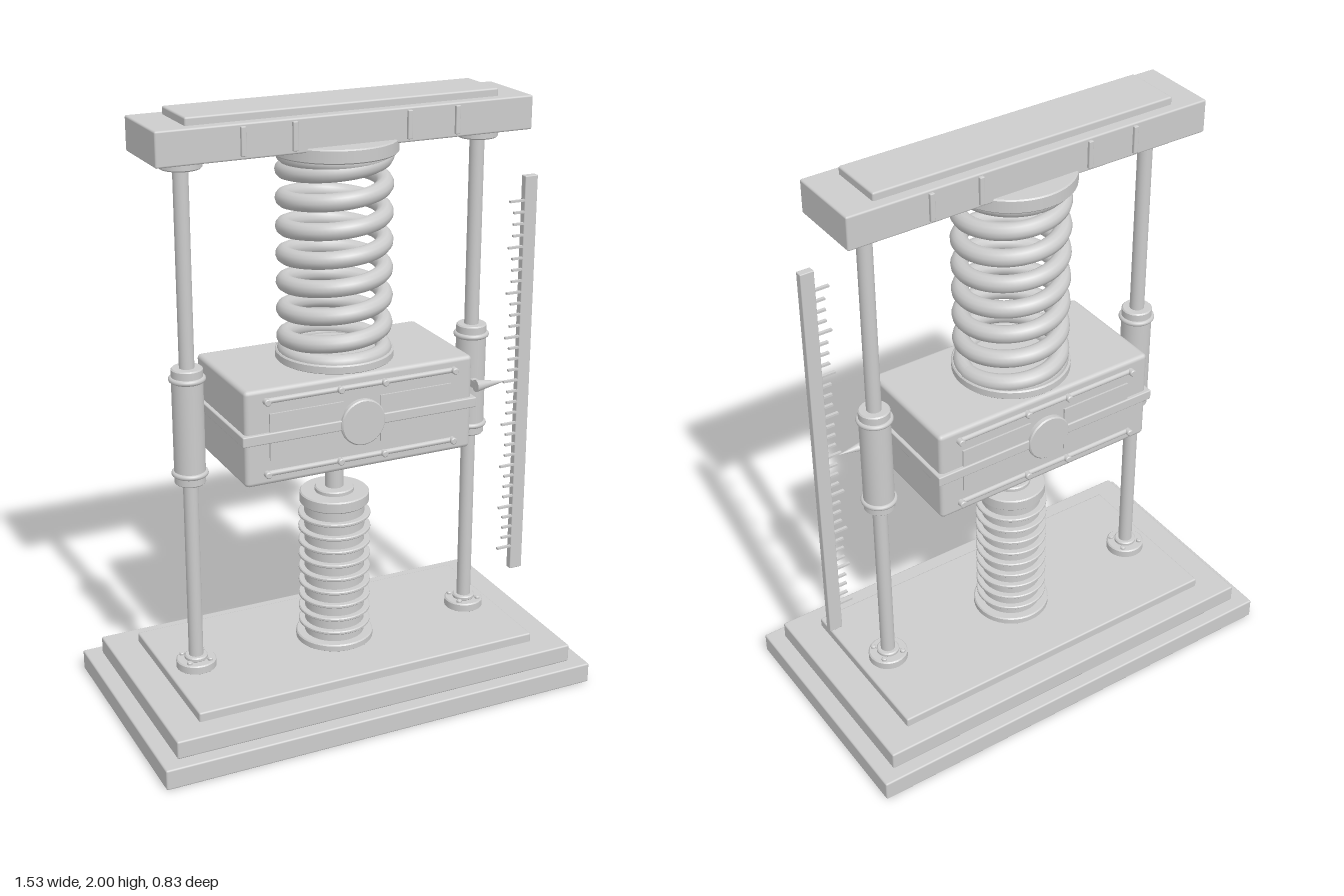
import * as THREE from 'three';
import { RoundedBoxGeometry } from 'three/addons/geometries/RoundedBoxGeometry.js';

const metal = new THREE.MeshStandardMaterial({ color: 0xcccccc });
metal.name = 'light grey metal';

class Helix extends THREE.Curve {
  constructor(radius, y0, y1, turns) {
    super();
    Object.assign(this, { radius, y0, y1, turns });
  }
  getPoint(t, target = new THREE.Vector3()) {
    const a = t * this.turns * Math.PI * 2;
    return target.set(Math.cos(a) * this.radius, this.y0 + (this.y1 - this.y0) * t, -Math.sin(a) * this.radius);
  }
}

export function createModel() {
  const model = new THREE.Group();
  model.name = 'springTestRig';

  const add = (name, geometry, x = 0, y = 0, z = 0, parent = model) => {
    const mesh = new THREE.Mesh(geometry, metal);
    mesh.name = name;
    mesh.position.set(x, y, z);
    parent.add(mesh);
    return mesh;
  };
  // Box from y0 to y1 with softened edges
  const slab = (name, w, y0, y1, d, x = 0, z = 0, r = 0.006) =>
    add(name, new RoundedBoxGeometry(w, y1 - y0, d, 2, r), x, (y0 + y1) / 2, z);
  // Upright turned part from y0 to y1 with a small chamfer
  const disc = (name, r, y0, y1, x = 0, z = 0, parent = model) => {
    const h = y1 - y0, c = Math.min(0.004, h / 4, r / 4);
    const corners = [[0, 0], [r - c, 0], [r, c], [r, h - c], [r - c, h], [0, h]];
    const points = [];
    corners.forEach(([px, py], i) => {
      points.push(new THREE.Vector2(px, py));
      if (i > 0 && i < 5) points.push(new THREE.Vector2(px, py));
    });
    return add(name, new THREE.LatheGeometry(points, 40), x, y0, z, parent);
  };

  // Stepped base
  slab('basePlate', 1.53, 0, 0.07, 0.83);
  slab('baseMiddleStep', 1.42, 0.07, 0.132, 0.74);
  slab('baseTopStep', 1.21, 0.125, 0.163, 0.58);

  // Top beam with straps and cover plate
  slab('topBeam', 1.25, 1.867, 1.975, 0.26);
  slab('beamCover', 1.04, 1.965, 2, 0.19);
  for (const x of [-0.355, -0.19, 0.19, 0.355])
    for (const s of [-1, 1]) slab('beamStrap', 0.016, 1.878, 1.967, 0.016, x, s * 0.132, 0.003);

  // Guide columns with flanges, bolts and sliding sleeves
  for (const s of [-1, 1]) {
    const column = new THREE.Group();
    column.name = s > 0 ? 'leftColumn' : 'rightColumn';
    column.position.x = s * 0.503;
    model.add(column);
    const part = (name, r, y0, y1, x = 0, z = 0) => disc(name, r, y0, y1, x, z, column);
    part('guideRod', 0.024, 0.16, 1.87);
    part('bottomFlange', 0.066, 0.16, 0.192);
    part('bottomCollar', 0.038, 0.19, 0.206);
    part('topFlange', 0.066, 1.832, 1.869);
    for (let i = 0; i < 4; i++) {
      const a = (i + 0.5) * Math.PI / 2;
      part('flangeBolt', 0.009, 0.19, 0.201, Math.cos(a) * 0.051, Math.sin(a) * 0.051);
    }
    part('sleeve', 0.05, 0.82, 1.206);
    for (const y of [0.855, 1.17]) {
      const ring = add('sleeveRing', new THREE.TorusGeometry(0.05, 0.009, 10, 40), 0, y, 0, column);
      ring.rotation.x = Math.PI / 2;
    }
  }

  // Main spring between its two seats
  disc('springTopSeat', 0.2, 1.835, 1.88);
  disc('springBottomSeat', 0.19, 1.17, 1.2);
  add('mainSpring', new THREE.TubeGeometry(new Helix(0.157, 1.2, 1.83, 7), 420, 0.028, 12));
  for (const y of [1.2, 1.83]) {
    const coil = add('springEndCoil', new THREE.TorusGeometry(0.157, 0.026, 12, 48), 0, y);
    coil.rotation.x = Math.PI / 2;
  }

  // Moving mass block with belt
  slab('massBlock', 0.79, 0.855, 1.172, 0.4, 0, 0, 0.014);
  slab('massBelt', 0.815, 0.997, 1.031, 0.424, 0, 0, 0.004);

  // Matching details on the front and back of the block
  for (const s of [-1, 1]) {
    const face = new THREE.Group();
    face.name = s > 0 ? 'massFrontFace' : 'massBackFace';
    face.rotation.y = s > 0 ? 0 : Math.PI;
    model.add(face);
    for (const x of [-0.19, 0.19])
      add('facePanel', new THREE.BoxGeometry(0.25, 0.155, 0.012), x, 1.014, 0.2, face);
    const boss = disc('faceBoss', 0.076, 0, 0.03, 0, 0.188, face);
    boss.position.y = 1.014;
    boss.rotation.x = Math.PI / 2;
    for (const y of [0.894, 1.134]) {
      const bar = add('faceBar', new THREE.CapsuleGeometry(0.009, 0.64, 4, 12), 0, y, 0.2, face);
      bar.rotation.z = Math.PI / 2;
      for (const x of [-0.325, -0.077, 0.077, 0.325]) {
        const bolt = disc('faceBolt', 0.011, 0, 0.028, x, 0.192, face);
        bolt.position.y = y;
        bolt.rotation.x = Math.PI / 2;
      }
    }
  }

  // Finned damper below the block
  disc('damperTopBoss', 0.09, 0.828, 0.858);
  disc('damperRod', 0.03, 0.7, 0.84);
  disc('damperNeck', 0.065, 0.695, 0.715);
  disc('damperCap', 0.115, 0.66, 0.7);
  disc('damperBody', 0.1, 0.17, 0.665);
  disc('damperFoot', 0.13, 0.16, 0.186);
  for (let i = 0; i < 9; i++) {
    const y = 0.225 + i * 0.0493;
    disc('damperFin', 0.12, y - 0.006, y + 0.006);
  }

  // Scale bar with long and short ticks
  slab('scaleBar', 0.046, 0.313, 1.708, 0.025, 0.655, 0.082, 0.003);
  for (let i = 0; i <= 32; i++) {
    const length = i % 4 ? 0.04 : 0.056;
    add('scaleTick', new THREE.BoxGeometry(length, 0.007, 0.01), 0.635 - length / 2, 0.4 + i * 0.0384, 0.09);
  }

  // Pointer fixed to the left sleeve
  const pointer = add('pointer', new THREE.ConeGeometry(0.021, 0.115, 20), 0.535, 1.014, 0.082);
  pointer.rotation.z = -Math.PI / 2;
  slab('pointerBracket', 0.022, 1.0, 1.028, 0.05, 0.488, 0.06, 0.003);

  return model;
}
